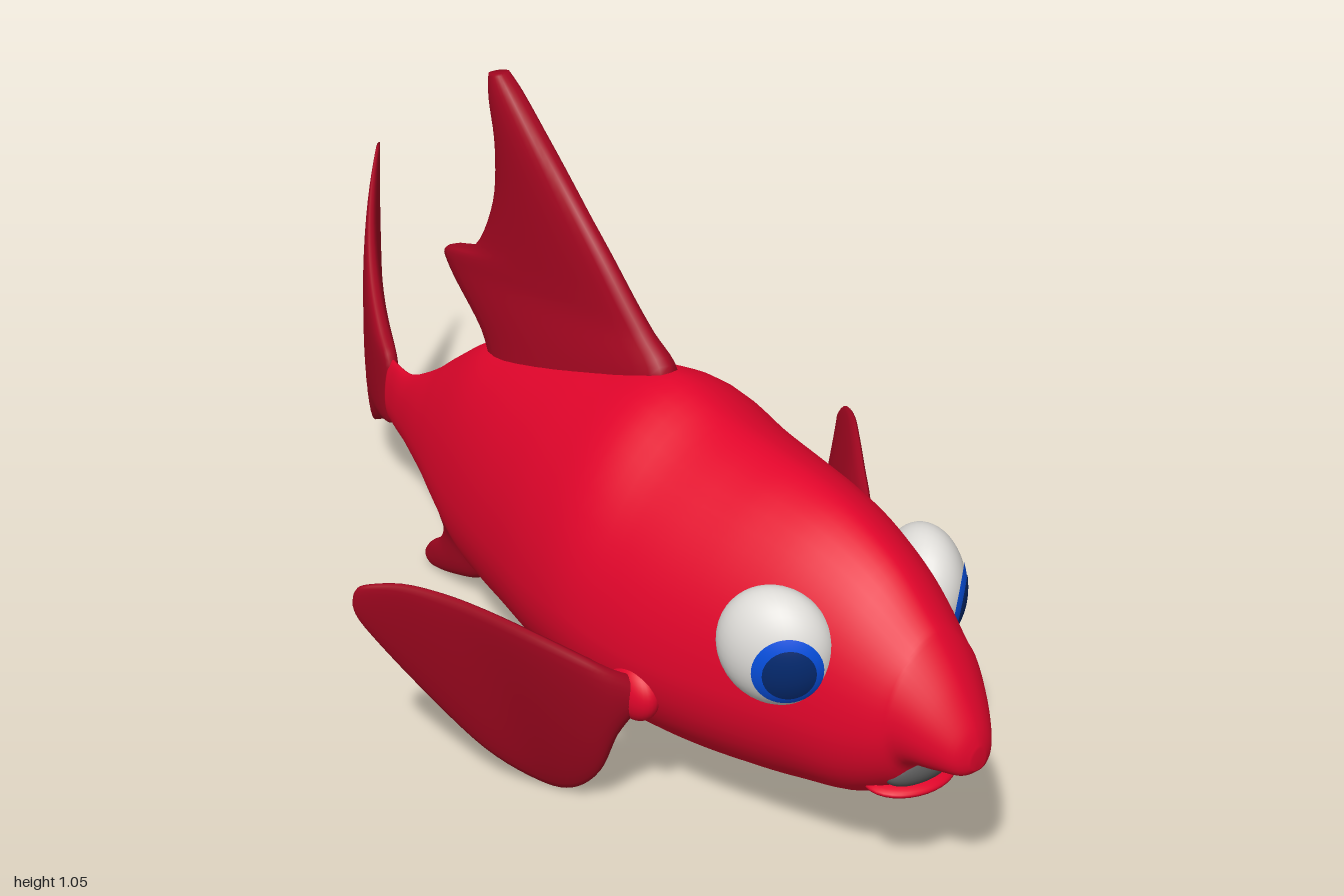
import * as THREE from 'three';

const mat = (name, color) => Object.assign(new THREE.MeshStandardMaterial({ color }), { name });

// sideways sweep of the tail
const bend = z => (z > -0.2 ? 0 : 0.545 * (-0.2 - z) ** 2.6);

// smooth in-between rows
function resample(rows, n) {
  const out = [];
  const last = rows.length - 1;
  for (let i = 0; i <= n; i++) {
    const f = (i / n) * last;
    const k = Math.min(Math.floor(f), last - 1), t = f - k;
    const a = rows[Math.max(k - 1, 0)], b = rows[k], c = rows[k + 1], d = rows[Math.min(k + 2, last)];
    out.push(b.map((v, j) => v + 0.5 * t * (c[j] - a[j]
      + t * (2 * a[j] - 5 * v + 4 * c[j] - d[j] + t * (3 * (v - c[j]) + d[j] - a[j])))));
  }
  return out;
}

// closed skin over loops, capped at both ends and wound outwards
function loft(rows, n, m, point) {
  const pos = [], idx = [];
  const fine = resample(rows, n);
  for (const r of fine) {
    for (let j = 0; j < m; j++) pos.push(...point(r, (j / m) * Math.PI * 2));
  }
  for (let i = 0; i < n; i++) {
    for (let j = 0; j < m; j++) {
      const a = i * m + j, b = i * m + (j + 1) % m;
      idx.push(a, b, b + m, a, b + m, a + m);
    }
  }
  for (const start of [0, n * m]) {
    const c = [0, 0, 0], id = pos.length / 3;
    for (let j = 0; j < m; j++) for (let k = 0; k < 3; k++) c[k] += pos[(start + j) * 3 + k] / m;
    pos.push(...c);
    for (let j = 0; j < m; j++) {
      const a = start + j, b = start + (j + 1) % m;
      idx.push(...(start ? [id, a, b] : [id, b, a]));
    }
  }
  // flip if the enclosed volume is negative
  const v = i => new THREE.Vector3().fromArray(pos, i * 3);
  let volume = 0;
  for (let i = 0; i < idx.length; i += 3) volume += v(idx[i]).dot(v(idx[i + 1]).cross(v(idx[i + 2])));
  if (volume < 0) idx.reverse();
  const g = new THREE.BufferGeometry();
  g.setAttribute('position', new THREE.Float32BufferAttribute(pos, 3));
  g.setIndex(idx);
  g.computeVertexNormals();
  return g;
}

// fin rows: leading point, trailing point, half thickness
function fin(rows, normal) {
  return loft(rows, 40, 28, (r, a) => {
    const c = Math.cos(a), s = Math.sign(Math.sin(a)) * Math.abs(Math.sin(a)) ** 0.7;
    return [0, 1, 2].map(k => (r[k] + r[k + 3]) / 2 + (r[k] - r[k + 3]) / 2 * c + normal[k] * r[6] * s);
  });
}

// upright fin rows: lead z, lead y, trail z, trail y, half thickness
function uprightFin(rows) {
  const g = fin(rows.map(([z, y, tz, ty, t]) => [0, y, z, 0, ty, tz, t]), [1, 0, 0]);
  const p = g.attributes.position;
  for (let i = 0; i < p.count; i++) p.setX(i, p.getX(i) + bend(p.getZ(i)));
  g.computeVertexNormals();
  return g;
}

export function createModel() {
  const root = new THREE.Group();
  root.name = 'fish';
  const red = mat('body red', 0xe2052b);
  const dark = mat('fin red', 0xa30620);
  const white = mat('eye white', 0xdedcd8);
  const blue = mat('iris blue', 0x0650e0);
  const navy = mat('pupil navy', 0x042a70);
  const grey = mat('mouth grey', 0x5c5c5c);
  const add = (name, geo, m, parent = root) => {
    const mesh = new THREE.Mesh(geo, m);
    mesh.name = name;
    parent.add(mesh);
    return mesh;
  };
  const ellipsoid = (name, m, position, radii) => {
    const mesh = add(name, new THREE.SphereGeometry(1, 32, 20), m);
    mesh.position.set(...position);
    mesh.scale.set(...radii);
  };

  // body: z, top, bottom, half width
  add('body', loft([
    [0.998, 0.315, 0.278, 0.015], [0.985, 0.35, 0.266, 0.04], [0.95, 0.405, 0.262, 0.068],
    [0.905, 0.46, 0.252, 0.095], [0.88, 0.485, 0.205, 0.108], [0.8, 0.55, 0.15, 0.142],
    [0.7, 0.595, 0.12, 0.176], [0.6, 0.616, 0.1, 0.206], [0.5, 0.626, 0.086, 0.23],
    [0.4, 0.639, 0.077, 0.245], [0.28, 0.668, 0.073, 0.25], [0.15, 0.645, 0.075, 0.228],
    [0, 0.61, 0.082, 0.184], [-0.12, 0.578, 0.088, 0.147], [-0.22, 0.545, 0.1, 0.114],
    [-0.32, 0.478, 0.15, 0.081], [-0.4, 0.42, 0.19, 0.056], [-0.5, 0.366, 0.212, 0.03],
    [-0.57, 0.353, 0.217, 0.021], [-0.61, 0.35, 0.22, 0.02],
  ], 90, 48, ([z, top, bot, w], a) => {
    const mid = bot + (top - bot) * 0.41, s = Math.sin(a), c = Math.cos(a);
    // ridged back, squarer chin towards the nose
    const power = s > 0 ? 1.18 : 1 - 0.35 * THREE.MathUtils.smoothstep(z, 0.7, 0.95);
    const x = w * Math.sign(c) * Math.abs(c) ** power;
    return [x + bend(z), mid + s * (s > 0 ? top - mid : mid - bot), z];
  }), red);

  // mouth opening and lower jaw
  ellipsoid('mouth', grey, [0, 0.231, 0.875], [0.074, 0.033, 0.033]);
  ellipsoid('lowerJaw', red, [0, 0.2, 0.855], [0.083, 0.016, 0.06]);

  add('dorsalFin', uprightFin([
    [0.25, 0.58, -0.2, 0.5, 0.06], [0.27, 0.665, -0.235, 0.57, 0.05], [0.215, 0.715, -0.335, 0.65, 0.036],
    [0.17, 0.755, -0.348, 0.685, 0.033], [0.1, 0.82, -0.255, 0.72, 0.032], [0.02, 0.89, -0.2, 0.82, 0.031],
    [-0.06, 0.96, -0.19, 0.92, 0.029], [-0.14, 1.03, -0.205, 1.005, 0.024], [-0.175, 1.056, -0.208, 1.05, 0.017],
  ]), dark);

  add('tailFin', uprightFin([
    [-0.95, 0.035, -0.965, 0.028, 0.004], [-0.85, 0.09, -0.955, 0.1, 0.012], [-0.75, 0.148, -0.945, 0.18, 0.019],
    [-0.66, 0.198, -0.94, 0.23, 0.023], [-0.6, 0.222, -0.937, 0.27, 0.025], [-0.595, 0.285, -0.935, 0.31, 0.026],
    [-0.6, 0.348, -0.938, 0.36, 0.025], [-0.66, 0.385, -0.945, 0.42, 0.023], [-0.76, 0.445, -0.955, 0.47, 0.019],
    [-0.88, 0.53, -0.975, 0.54, 0.012], [-0.98, 0.602, -0.998, 0.608, 0.004],
  ]), dark);

  add('analFin', uprightFin([
    [-0.2, 0.14, -0.4, 0.2, 0.04], [-0.21, 0.1, -0.388, 0.155, 0.033], [-0.225, 0.075, -0.372, 0.12, 0.027],
    [-0.27, 0.047, -0.385, 0.085, 0.023], [-0.35, 0.02, -0.425, 0.055, 0.018],
    [-0.41, 0.005, -0.45, 0.027, 0.013], [-0.435, 0.003, -0.452, 0.012, 0.006],
  ]), dark);

  // paired parts, with mirrored coordinates on each side
  for (const s of [1, -1]) {
    const side = s > 0 ? 'left' : 'right';
    const rows = [
      [0.22, 0.26, 0.47, 0.22, 0.21, 0.46, 0.022], [0.27, 0.29, 0.45, 0.245, 0.16, 0.44, 0.02],
      [0.31, 0.32, 0.42, 0.25, 0.07, 0.4, 0.019], [0.36, 0.355, 0.37, 0.262, 0.015, 0.345, 0.018],
      [0.41, 0.385, 0.3, 0.29, 0.012, 0.29, 0.017], [0.45, 0.403, 0.245, 0.36, 0.075, 0.235, 0.015],
      [0.49, 0.41, 0.19, 0.44, 0.19, 0.17, 0.012], [0.525, 0.395, 0.135, 0.515, 0.31, 0.12, 0.008],
      [0.53, 0.375, 0.115, 0.53, 0.35, 0.11, 0.004],
    ].map(r => r.map((v, k) => (k === 0 || k === 3 ? v * s : v)));
    add(side + 'PectoralFin', fin(rows, [0.8 * s, -0.25, 0.56]), dark);
    ellipsoid(side + 'FinJoint', red, [0.222 * s, 0.237, 0.45], [0.031, 0.05, 0.055]);

    // eye: flattened ball with iris and pupil caps around the gaze direction
    const eye = new THREE.Group();
    eye.name = side + 'Eye';
    eye.position.set(0.156 * s, 0.418, 0.708);
    eye.rotation.y = -0.47 * s;
    eye.scale.set(0.066, 0.098, 0.095);
    root.add(eye);
    const gaze = new THREE.Vector3(0.9 * s, -0.18, 0.52).normalize();
    const turn = new THREE.Quaternion().setFromUnitVectors(new THREE.Vector3(0, 1, 0), gaze);
    const cap = (name, r, angle, m) => add(name,
      new THREE.SphereGeometry(r, 40, 24, 0, Math.PI * 2, 0, angle).applyQuaternion(turn), m, eye);
    cap('eyeball', 1, Math.PI, white);
    cap('iris', 1.02, 0.66, blue);
    cap('pupil', 1.035, 0.47, navy);
  }
  return root;
}
